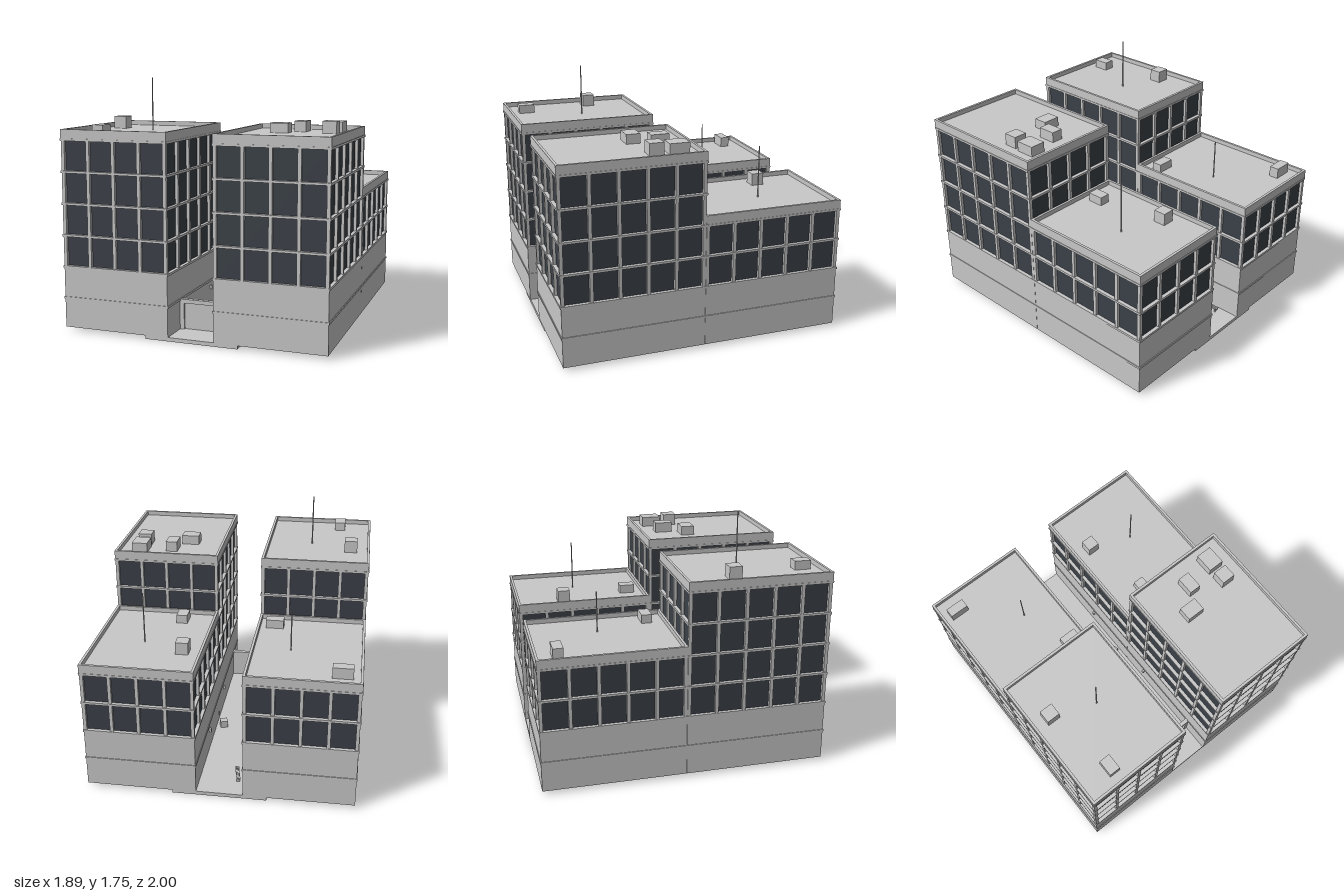
import * as THREE from 'three';

const concrete = new THREE.MeshStandardMaterial({ color: 0xc8c8c8 });
concrete.name = 'concrete';
const glass = new THREE.MeshStandardMaterial({ color: 0x3b4148 });
glass.name = 'dark glass';

// Box from its centre (x, z), its bottom and top heights, and its footprint
function block(parent, name, x, z, y0, y1, w, d, material = concrete) {
  const mesh = new THREE.Mesh(new THREE.BoxGeometry(w, y1 - y0, d), material);
  mesh.name = name;
  mesh.position.set(x, (y0 + y1) / 2, z);
  parent.add(mesh);
  return mesh;
}

const W = 0.775, D = 0.995; // tower footprint
const GROUND = 0.025, FLOOR = 0.22, FIRST = 0.455;

function tower(name, cx, cz, floors) {
  const g = new THREE.Group();
  g.name = name;
  const top = FIRST + floors * FLOOR;
  const roofY = top + 0.037, rimY = top + 0.07;

  // plinth and glazed core
  block(g, 'plinth', 0, 0, GROUND, FIRST, W, D);
  block(g, 'glazing', 0, 0, FIRST, top, W - 0.04, D - 0.04, glass);

  // horizontal bands
  block(g, 'plinthBand', 0, 0, 0.228, 0.243, W + 0.01, D + 0.01);
  for (let i = 0; i <= floors; i++) {
    const y = FIRST + i * FLOOR;
    block(g, 'floorBand', 0, 0, y - 0.008, y + 0.008, W + 0.01, D + 0.01);
  }

  // vertical mullions: four bays across, five bays deep
  const m = 0.024;
  for (let i = 0; i <= 4; i++) {
    const x = (i / 4 - 0.5) * (W - m);
    for (const s of [-1, 1]) block(g, 'mullion', x, s * (D - m) / 2, FIRST, top, m, m);
  }
  for (let i = 1; i < 5; i++) {
    const z = (i / 5 - 0.5) * (D - m);
    for (const s of [-1, 1]) block(g, 'mullion', s * (W - m) / 2, z, FIRST, top, m, m);
  }

  // roof deck and parapet
  const t = 0.018;
  block(g, 'roofDeck', 0, 0, top, roofY, W - t, D - t);
  for (const s of [-1, 1]) {
    block(g, 'parapet', s * (W + 0.004 - t) / 2, 0, top, rimY, t, D + 0.004);
    block(g, 'parapet', 0, s * (D + 0.004 - t) / 2, top, rimY, W + 0.004 - 2 * t, t);
  }
  g.position.set(cx, 0, cz);
  return g;
}

export function createModel() {
  const model = new THREE.Group();
  model.name = 'officeBlock';

  // four towers: tall pair in front, short pair behind
  for (const s of [-1, 1]) {
    const side = s > 0 ? 'left' : 'right';
    model.add(tower(side + 'FrontTower', s * 0.551, 0.4985, 4));
    model.add(tower(side + 'BackTower', s * 0.551, -0.4985, 2));
  }

  // paved slab through the passage
  block(model, 'passageSlab', 0, 0, 0, 0.027, 0.66, 1.985);

  // entrance gate
  const gate = new THREE.Group();
  gate.name = 'entranceGate';
  for (const s of [-1, 1]) block(gate, 'gatePost', s * 0.149, 0.77, GROUND, 0.24, 0.032, 0.032);
  block(gate, 'gateLintel', 0, 0.77, 0.212, 0.24, 0.27, 0.032);
  block(gate, 'gateDoor', 0, 0.765, GROUND, 0.213, 0.268, 0.01);
  model.add(gate);

  // rooftop units: x, z, width, depth, top
  const units = [
    [-0.80, 0.345, 0.095, 0.09, 1.46], [-0.70, 0.86, 0.08, 0.115, 1.435],
    [0.537, 0.20, 0.085, 0.13, 1.447], [0.77, 0.15, 0.115, 0.14, 1.445],
    [0.768, 0.305, 0.10, 0.10, 1.457], [0.425, 0.36, 0.13, 0.10, 1.44],
    [-0.807, -0.847, 0.14, 0.07, 1.01], [-0.285, -0.14, 0.13, 0.075, 0.995],
    [0.403, -0.13, 0.08, 0.115, 0.995], [0.302, -0.645, 0.09, 0.09, 1.02],
  ];
  for (const [x, z, w, d, y] of units) {
    block(model, 'rooftopUnit', x, z, z > 0 ? 1.37 : 0.93, y, w, d);
  }

  // antennas: x, z, roof, top
  for (const [x, z, y0, y1] of [
    [-0.5, 0.465, 1.37, 1.745], [0.6, -0.527, 0.93, 1.305], [-0.435, -0.515, 0.93, 1.225],
  ]) {
    const mast = new THREE.Mesh(new THREE.CylinderGeometry(0.004, 0.005, y1 - y0, 8), concrete);
    mast.name = 'antenna';
    mast.position.set(x, (y0 + y1) / 2, z);
    model.add(mast);
  }

  // bench, planter and wall lights in the passage
  const bench = new THREE.Group();
  bench.name = 'bench';
  for (const x of [-0.01, 0, 0.01]) block(bench, 'benchSlat', x, 0, 0.055, 0.062, 0.008, 0.16);
  for (const z of [-0.06, 0.06]) block(bench, 'benchLeg', 0, z, 0.027, 0.055, 0.026, 0.01);
  bench.position.set(-0.1, 0, -0.775);
  bench.rotation.y = 0.2;
  model.add(bench);
  block(model, 'planter', 0.108, -0.112, 0.027, 0.08, 0.055, 0.055).rotation.y = 0.3;
  for (const s of [-1, 1]) for (const z of [-0.44, 0.22]) {
    block(model, 'wallLight', s * 0.156, z, 0.17, 0.2, 0.018, 0.016);
  }
  return model;
}
